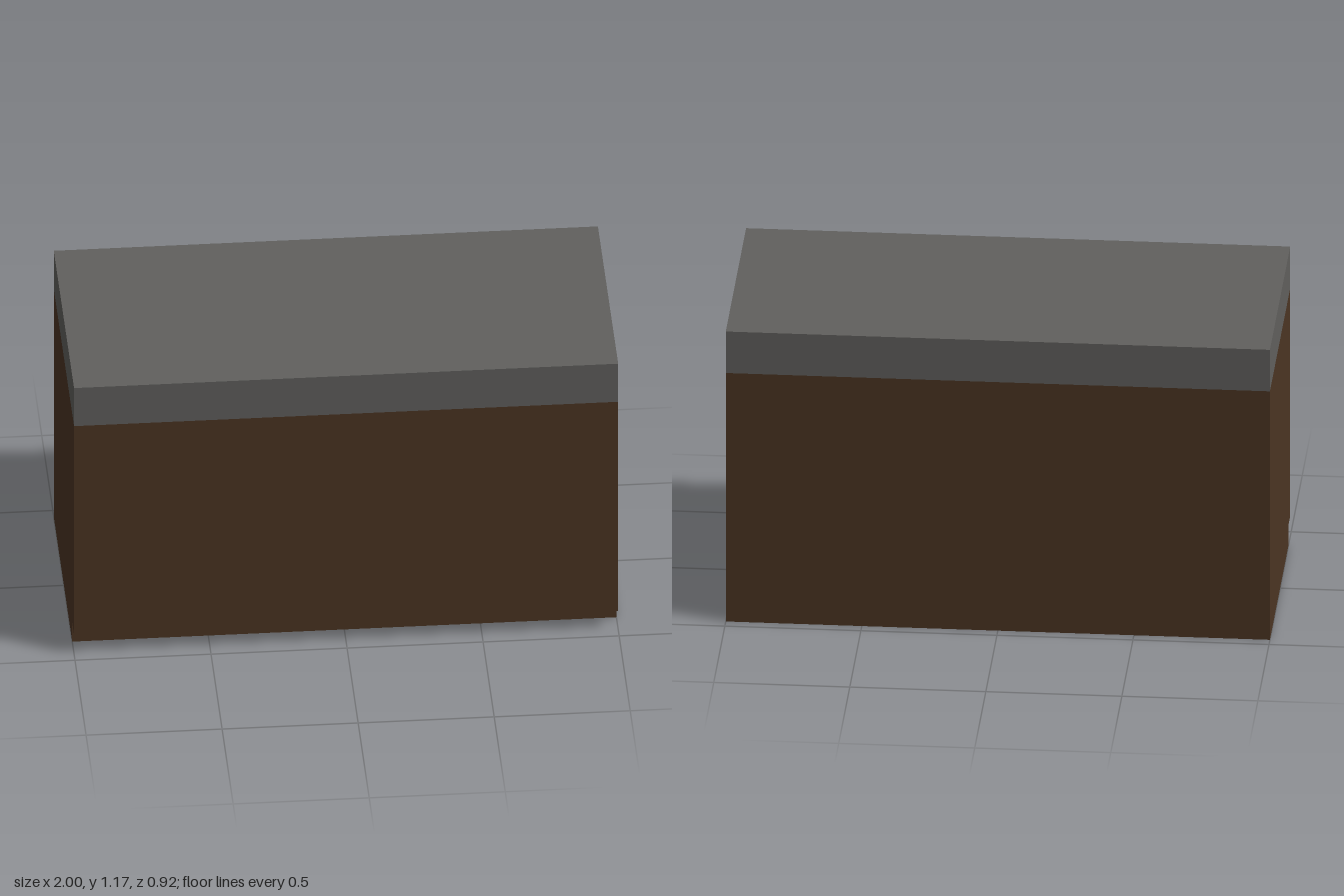
import * as THREE from 'three';

// Overall sizes
const WIDTH = 2, DEPTH = 0.917, BODY_TOP = 1, TOP = 1.167;
const TOE_HEIGHT = 0.083, TOE_DEPTH = 0.083;

export function createModel() {
  const group = new THREE.Group();
  group.name = 'baseCabinet';

  const wood = new THREE.MeshStandardMaterial({ color: 0x4c3523, side: THREE.DoubleSide });
  wood.name = 'dark brown wood';
  const stone = new THREE.MeshStandardMaterial({ color: 0x61605e });
  stone.name = 'grey stone';

  const add = (name, geometry, material, x, y, z, turn = 0) => {
    const mesh = new THREE.Mesh(geometry, material);
    mesh.name = name;
    mesh.position.set(x, y, z);
    mesh.rotation.y = turn;
    group.add(mesh);
  };
  const slab = (name, material, y0, y1) =>
    add(name, new THREE.BoxGeometry(WIDTH, y1 - y0, DEPTH), material, 0, (y0 + y1) / 2, 0);

  // Countertop flush with the cabinet body
  slab('countertop', stone, BODY_TOP, TOP);
  slab('cabinetBody', wood, TOE_HEIGHT, BODY_TOP);

  // Plinth: thin skirt, open underneath, set back at the front for the toe kick
  const back = -DEPTH / 2, front = DEPTH / 2 - TOE_DEPTH;
  const panel = (name, length, x, z, turn) =>
    add(name, new THREE.PlaneGeometry(length, TOE_HEIGHT), wood, x, TOE_HEIGHT / 2, z, turn);
  panel('toeKick', WIDTH, 0, front, 0);
  panel('plinthBack', WIDTH, 0, back, Math.PI);
  for (const [name, side] of [['plinthLeft', 1], ['plinthRight', -1]]) {
    panel(name, front - back, side * WIDTH / 2, (front + back) / 2, side * Math.PI / 2);
  }

  return group;
}
